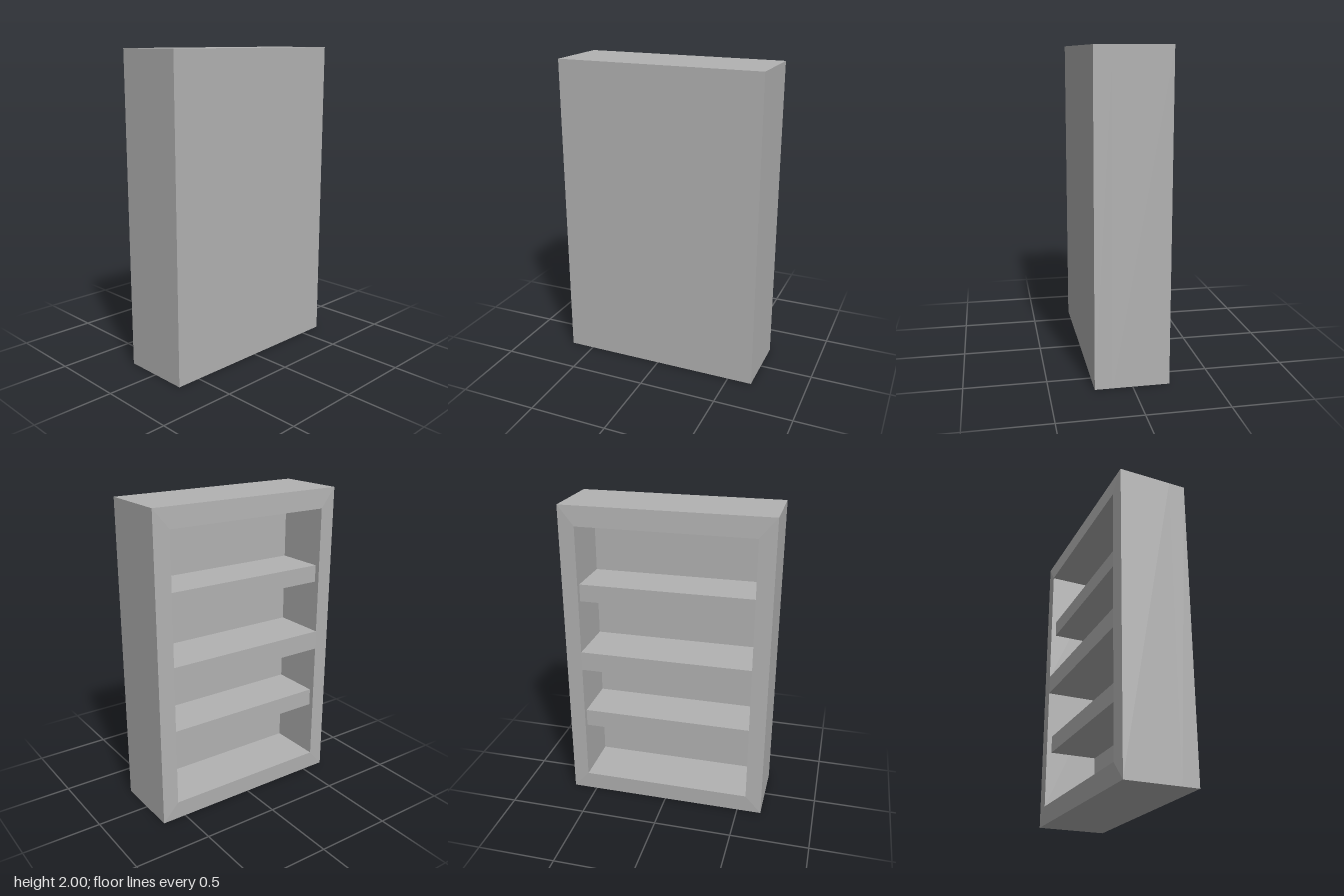
import * as THREE from 'three';

const W = 0.658, H = 2;              // half width, height
const IN = 0.554;                    // half width of the openings
const FRONT = 0.23, PANEL = 0.122;   // front face and inner face of the closed panel
const RIM = -0.225, BACK = -0.231;   // outer and inner edges of the open side

// Adds a closed rectangle to a shape or path
function rect(path, x, y0, y1) {
  path.moveTo(-x, y0);
  path.lineTo(x, y0);
  path.lineTo(x, y1);
  path.lineTo(-x, y1);
  path.closePath();
  return path;
}

export function createModel() {
  const group = new THREE.Group();
  group.name = 'bookcase';
  const grey = new THREE.MeshStandardMaterial({ color: 0xb2b2b2 });
  grey.name = 'plain grey';

  const add = (name, geometry, x = 0, y = 0, z = 0) => {
    const mesh = new THREE.Mesh(geometry, grey);
    mesh.name = name;
    mesh.position.set(x, y, z);
    group.add(mesh);
  };

  // Frame with two openings, its open side rising slightly towards the openings
  const outline = rect(new THREE.Shape(), W, 0, H);
  outline.holes.push(rect(new THREE.Path(), IN, 0.12, 0.925));
  outline.holes.push(rect(new THREE.Path(), IN, 1.05, 1.875));
  const frame = new THREE.ExtrudeGeometry(outline, { depth: PANEL - RIM, bevelEnabled: false });
  frame.translate(0, 0, RIM);
  const p = frame.attributes.position;
  for (let i = 0; i < p.count; i++) {
    if (p.getZ(i) < 0 && Math.abs(p.getX(i)) < W - 0.01) p.setZ(i, BACK);
  }
  frame.computeVertexNormals();
  add('frame', frame);

  // Closed panel on the front
  add('frontPanel', new THREE.BoxGeometry(W * 2, H, FRONT - PANEL), 0, H / 2, (FRONT + PANEL) / 2);

  // One shelf in each opening, set back from the rim
  const shelfBack = -0.198;
  for (const [name, y0, y1] of [['lowerShelf', 0.492, 0.607], ['upperShelf', 1.389, 1.5]]) {
    add(name, new THREE.BoxGeometry(IN * 2, y1 - y0, PANEL - shelfBack),
      0, (y0 + y1) / 2, (PANEL + shelfBack) / 2);
  }
  return group;
}
